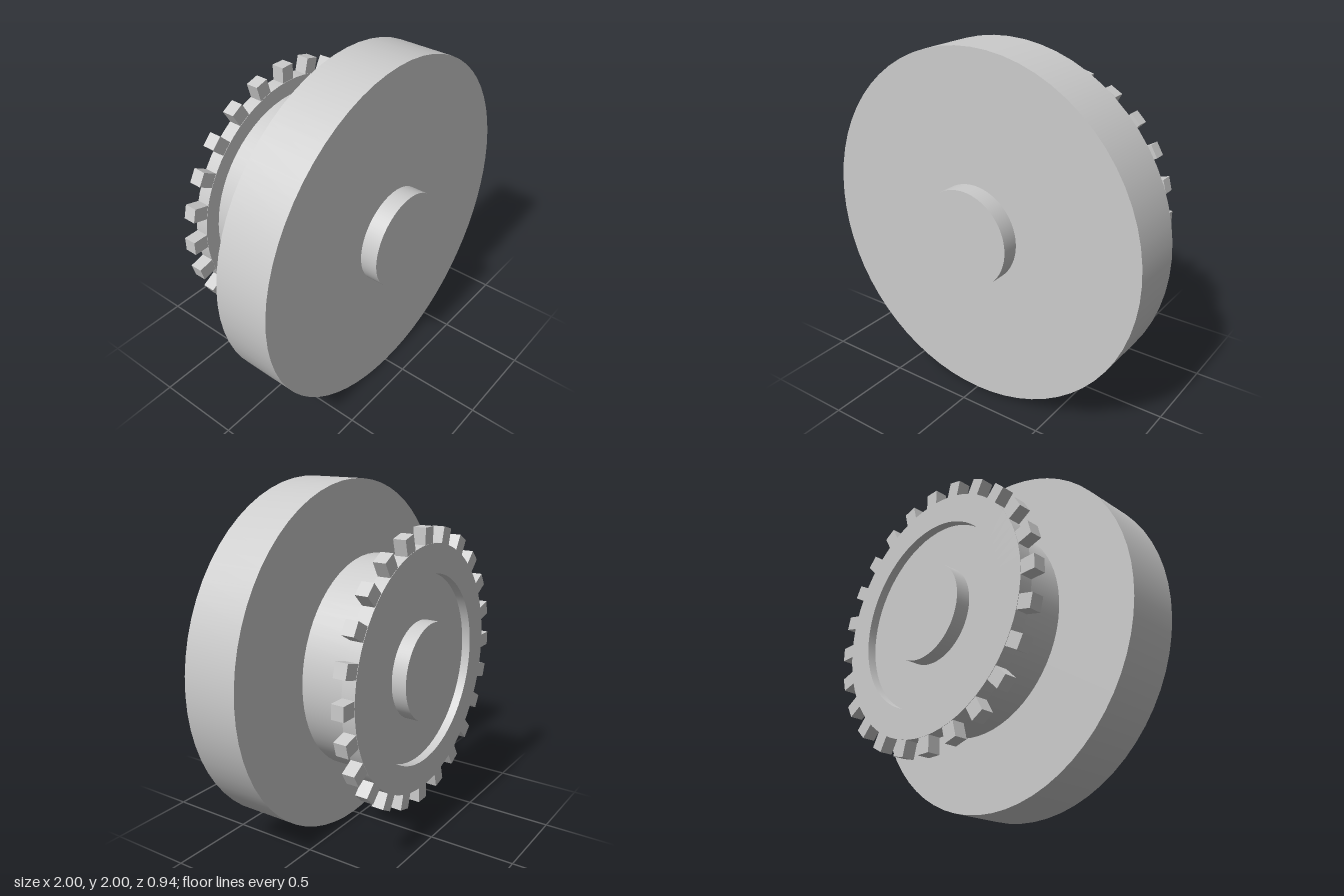
import * as THREE from 'three';

const SEGMENTS = 64;

export function createModel() {
  const model = new THREE.Group();
  model.name = 'gearWheel';
  const grey = new THREE.MeshStandardMaterial({ color: 0xcccccc });
  grey.name = 'plain grey';

  const add = (name, geometry, parent = model) => {
    const mesh = new THREE.Mesh(geometry, grey);
    mesh.name = name;
    parent.add(mesh);
    return mesh;
  };

  // Solid round part along z, between two depths
  const disc = (name, radius, back, front) => {
    const geometry = new THREE.CylinderGeometry(radius, radius, front - back, SEGMENTS);
    geometry.rotateX(Math.PI / 2);
    add(name, geometry).position.set(0, 1, (front + back) / 2);
  };

  disc('axle', 0.275, -0.47, 0.47);
  disc('wheel', 1, 0.045, 0.37);
  disc('drum', 0.603, -0.385, -0.055);

  // Toothed ring around the back of the drum
  const sprocket = new THREE.Group();
  sprocket.name = 'sprocket';
  sprocket.position.set(0, 1, -0.435);
  model.add(sprocket);

  const depth = 0.077;
  const profile = [
    [0.53, 0], [0.69, 0], [0.69, depth], [0.53, depth], [0.53, 0],
  ];
  // Each side is its own lathe so the edges stay sharp
  for (let i = 0; i < 4; i++) {
    const side = profile.slice(i, i + 2).map(([r, z]) => new THREE.Vector2(r, z));
    const geometry = new THREE.LatheGeometry(side, SEGMENTS);
    geometry.rotateX(Math.PI / 2);
    add(['ringBack', 'ringRim', 'ringFront', 'ringBore'][i], geometry, sprocket);
  }

  // Square teeth, slightly sunk into the ring and just behind its faces
  const inner = 0.67, outer = 0.778, teeth = 24;
  const toothGeometry = new THREE.BoxGeometry(outer - inner, 0.08, depth - 0.004);
  toothGeometry.translate((inner + outer) / 2, 0, depth / 2);
  for (let i = 0; i < teeth; i++) {
    add('tooth', toothGeometry, sprocket).rotation.z = (i / teeth) * Math.PI * 2;
  }

  return model;
}
